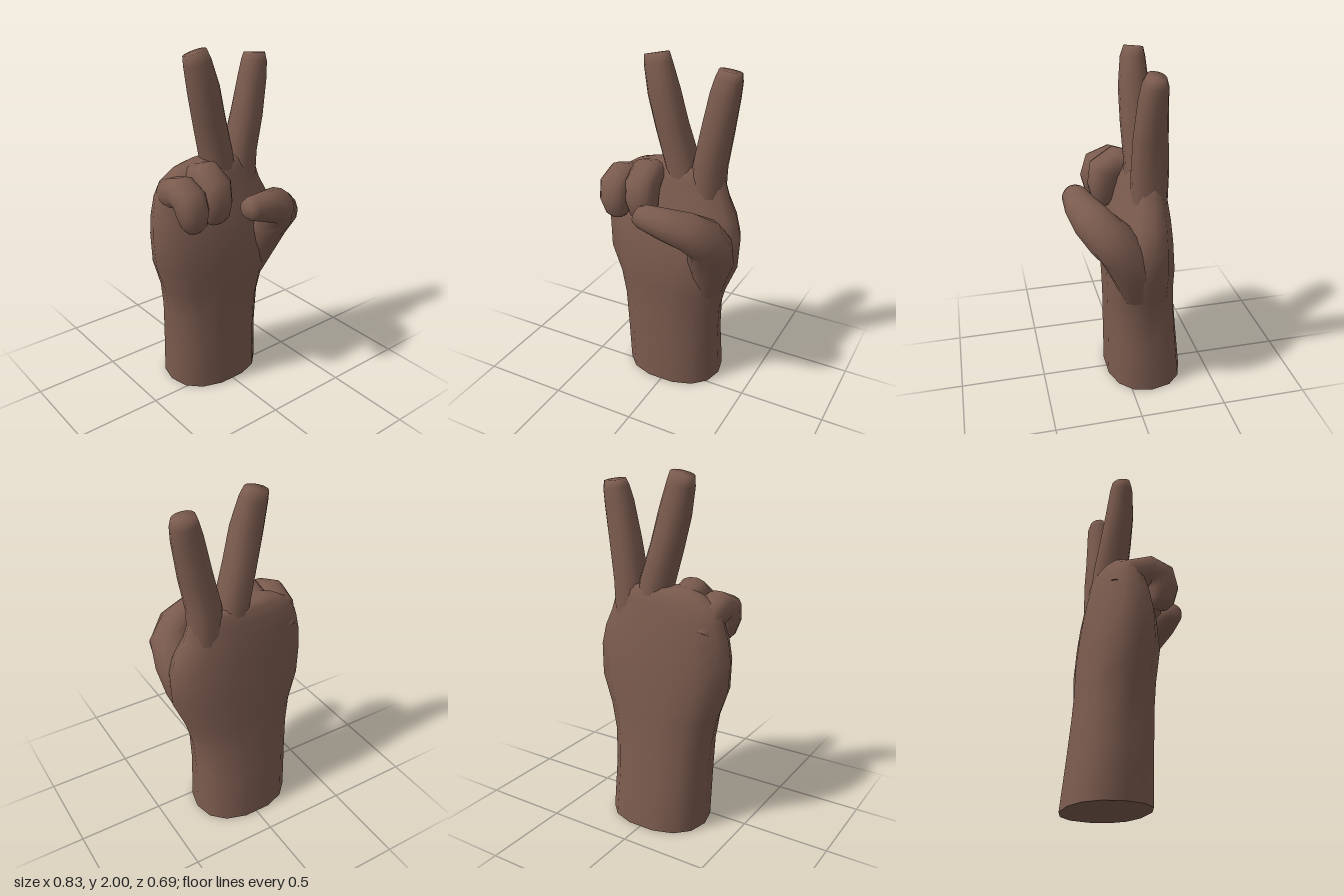
import * as THREE from 'three';

const SIDES = 14;

// Skin lofted through elliptical rings [x, y, z, halfWidthA, halfWidthB].
// ref sets the direction of halfWidthA; power below 1 makes the rings boxier.
function loft(rings, ref, { power = 1, level = false } = {}) {
  const centres = rings.map(r => new THREE.Vector3(r[0], r[1], r[2]));
  const pos = [], index = [];
  const shape = v => Math.sign(v) * Math.abs(v) ** power;
  const n = rings.length;
  rings.forEach(([, , , a, b], i) => {
    const t = level ? new THREE.Vector3(0, 1, 0)
      : centres[Math.min(i + 1, n - 1)].clone().sub(centres[Math.max(i - 1, 0)]).normalize();
    const u = ref.clone().addScaledVector(t, -ref.dot(t)).normalize();
    const v = t.clone().cross(u);
    for (let j = 0; j < SIDES; j++) {
      const k = (j / SIDES) * Math.PI * 2;
      const p = centres[i].clone()
        .addScaledVector(u, a * shape(Math.cos(k)))
        .addScaledVector(v, b * shape(Math.sin(k)));
      pos.push(p.x, p.y, p.z);
    }
  });
  for (let i = 0; i < n - 1; i++) {
    for (let j = 0; j < SIDES; j++) {
      const k = (j + 1) % SIDES, lo = i * SIDES, hi = lo + SIDES;
      index.push(lo + j, lo + k, hi + k, lo + j, hi + k, hi + j);
    }
  }
  // flat start cap with its own rim, so its edge stays sharp
  const rim = pos.length / 3;
  pos.push(...pos.slice(0, SIDES * 3), ...centres[0].toArray());
  for (let j = 0; j < SIDES; j++) index.push(rim + SIDES, rim + (j + 1) % SIDES, rim + j);
  // end cap shares its rim, so the tip reads as rounded
  const last = (n - 1) * SIDES;
  pos.push(...centres[n - 1].toArray());
  const tip = pos.length / 3 - 1;
  for (let j = 0; j < SIDES; j++) index.push(tip, last + j, last + (j + 1) % SIDES);

  const g = new THREE.BufferGeometry();
  g.setAttribute('position', new THREE.Float32BufferAttribute(pos, 3));
  g.setIndex(index);
  g.computeVertexNormals();
  return g;
}

export function createModel() {
  const group = new THREE.Group();
  group.name = 'hand';
  const skin = new THREE.MeshStandardMaterial({ color: 0x7b5b4e });
  skin.name = 'brown skin';
  const add = (name, geometry) => {
    const mesh = new THREE.Mesh(geometry, skin);
    mesh.name = name;
    group.add(mesh);
  };
  const across = new THREE.Vector3(1, 0, 0);

  // wrist and palm: y, right edge, left edge, front, back
  const palm = [
    [0, -0.30, 0.29, 0.11, -0.35],
    [0.3, -0.31, 0.28, 0.11, -0.32],
    [0.5, -0.32, 0.29, 0.11, -0.30],
    [0.65, -0.345, 0.33, 0.115, -0.285],
    [0.82, -0.405, 0.40, 0.125, -0.275],
    [1.0, -0.42, 0.41, 0.10, -0.255],
    [1.12, -0.41, 0.38, 0.065, -0.24],
    [1.22, -0.385, 0.33, 0.03, -0.225],
    [1.3, -0.345, 0.305, 0.01, -0.21],
    [1.36, -0.25, 0.285, -0.015, -0.195],
    [1.385, -0.16, 0.25, -0.04, -0.17],
  ].map(([y, x0, x1, zf, zb]) =>
    [(x0 + x1) / 2, y, (zf + zb) / 2, (x1 - x0) / 2, (zf - zb) / 2]);
  add('wristAndPalm', loft(palm, across, { power: 0.87, level: true }));

  // raised fingers
  add('indexFinger', loft([
    [0.19, 1.15, -0.10, 0.10, 0.10],
    [0.205, 1.4, -0.10, 0.094, 0.10],
    [0.245, 1.6, -0.09, 0.09, 0.09],
    [0.283, 1.81, -0.09, 0.083, 0.075],
    [0.298, 1.89, -0.095, 0.074, 0.066],
    [0.303, 1.932, -0.10, 0.064, 0.048],
  ], across, { power: 0.92 }));
  add('middleFinger', loft([
    [0.07, 1.15, -0.10, 0.10, 0.10],
    [0.03, 1.4, -0.10, 0.094, 0.10],
    [-0.025, 1.6, -0.085, 0.09, 0.092],
    [-0.068, 1.78, -0.075, 0.09, 0.082],
    [-0.105, 1.93, -0.078, 0.078, 0.066],
    [-0.117, 1.982, -0.085, 0.07, 0.05],
  ], across, { power: 0.92 }));

  // curled fingers
  add('ringFinger', loft([
    [-0.13, 1.2, -0.13, 0.09, 0.08],
    [-0.13, 1.3, -0.07, 0.095, 0.09],
    [-0.125, 1.33, 0.02, 0.095, 0.088],
    [-0.12, 1.29, 0.08, 0.095, 0.09],
    [-0.12, 1.2, 0.095, 0.093, 0.08],
    [-0.115, 1.125, 0.085, 0.08, 0.07],
    [-0.112, 1.09, 0.08, 0.055, 0.045],
  ], across, { power: 0.87 }));
  add('littleFinger', loft([
    [-0.265, 1.15, -0.13, 0.09, 0.08],
    [-0.28, 1.25, -0.07, 0.095, 0.09],
    [-0.288, 1.28, 0.02, 0.093, 0.085],
    [-0.288, 1.255, 0.085, 0.093, 0.088],
    [-0.282, 1.185, 0.107, 0.088, 0.082],
    [-0.272, 1.115, 0.1, 0.072, 0.068],
    [-0.268, 1.085, 0.095, 0.05, 0.045],
  ], across, { power: 0.87 }));

  // thumb folded forward across the palm
  add('thumb', loft([
    [0.24, 0.66, -0.06, 0.11, 0.08],
    [0.265, 0.85, -0.01, 0.14, 0.13],
    [0.287, 0.99, 0.07, 0.13, 0.13],
    [0.285, 1.08, 0.15, 0.12, 0.12],
    [0.21, 1.14, 0.215, 0.11, 0.1],
    [0.09, 1.175, 0.255, 0.09, 0.082],
    [-0.015, 1.198, 0.27, 0.072, 0.065],
    [-0.048, 1.204, 0.268, 0.055, 0.048],
  ], new THREE.Vector3(0, -0.2, 1)));

  return group;
}
